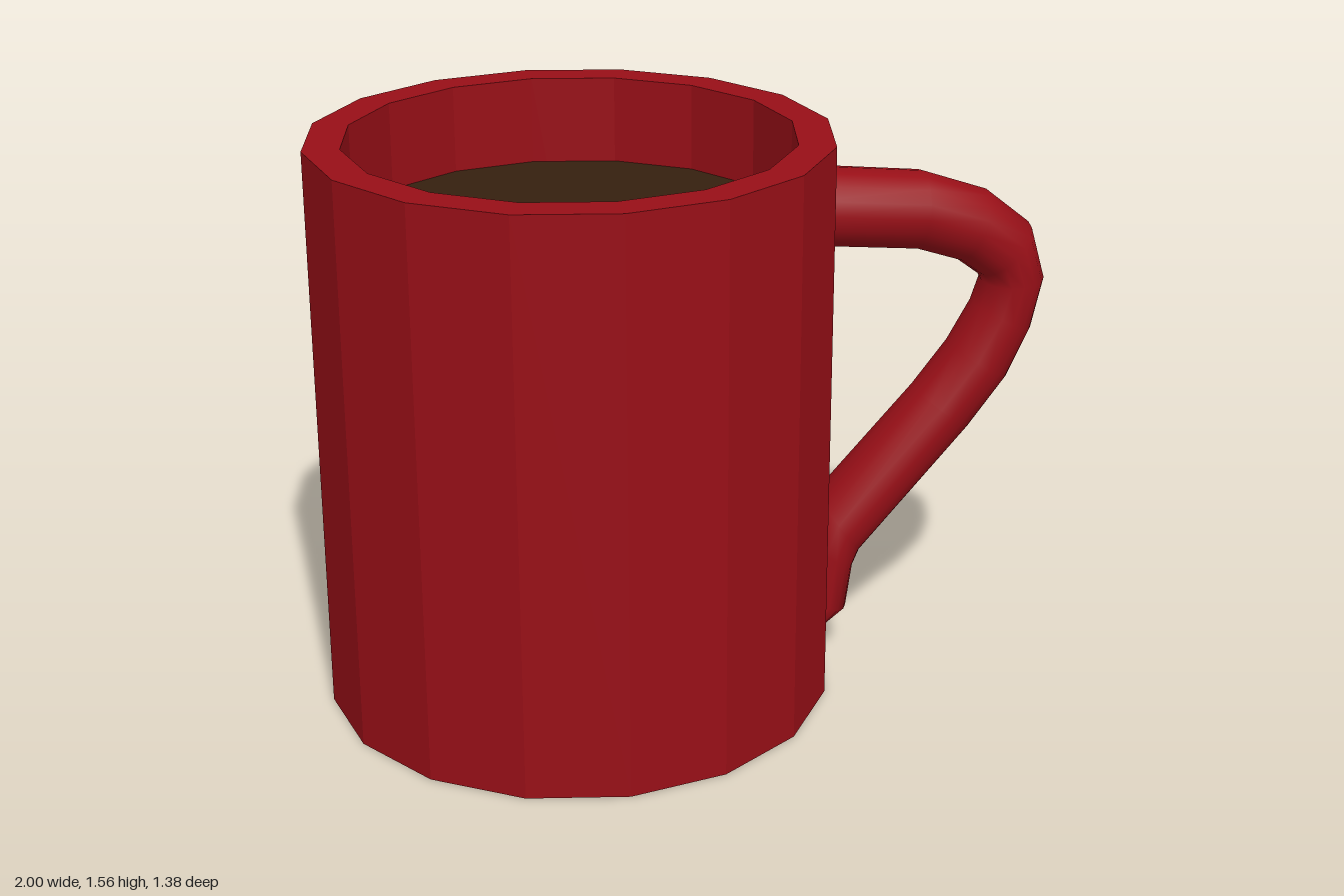
import * as THREE from 'three';

const CUP_X = -0.31, RADIUS = 0.69, INNER = 0.592, HEIGHT = 1.56, SIDES = 16;

// Tube lofted through [outerX, outerY, innerX, innerY] sections with a constant half depth in z
function loftHandle(sections, halfDepth, sides) {
  const positions = [], index = [];
  sections.forEach(([ox, oy, ix, iy], i) => {
    for (let j = 0; j < sides; j++) {
      const a = (j / sides) * Math.PI * 2, c = Math.cos(a);
      positions.push(
        (ox + ix) / 2 + ((ox - ix) / 2) * c,
        (oy + iy) / 2 + ((oy - iy) / 2) * c,
        halfDepth * Math.sin(a)
      );
      if (i < sections.length - 1) {
        const k = (j + 1) % sides;
        const p = i * sides + j, q = i * sides + k;
        index.push(p, q, p + sides, q, q + sides, p + sides);
      }
    }
  });
  const geometry = new THREE.BufferGeometry();
  geometry.setAttribute('position', new THREE.Float32BufferAttribute(positions, 3));
  geometry.setIndex(index);
  geometry.computeVertexNormals();
  return geometry;
}

export function createModel() {
  const mug = new THREE.Group();
  mug.name = 'mug';
  const add = (name, geometry, material) => {
    const mesh = new THREE.Mesh(geometry, material);
    mesh.name = name;
    mug.add(mesh);
    return mesh;
  };
  const red = 0x980f17;

  // Faceted cup with a closed base, thick rim and hollow inside
  const profile = [[0, 0], [RADIUS, 0], [RADIUS, HEIGHT], [INNER, HEIGHT], [INNER, 0.1], [0, 0.1]]
    .map(([x, y]) => new THREE.Vector2(x, y));
  const cup = add('cup', new THREE.LatheGeometry(profile, SIDES),
    new THREE.MeshStandardMaterial({ color: red, flatShading: true }));
  cup.position.x = CUP_X;

  // Drink surface below the rim
  const drink = add('drink', new THREE.CircleGeometry(INNER, SIDES).rotateX(-Math.PI / 2),
    new THREE.MeshStandardMaterial({ color: 0x35200f }));
  drink.position.set(CUP_X, 1.32, 0);

  // Handle: both ends run into the cup wall
  const sections = [
    [0.33, 1.435, 0.33, 1.217],
    [0.65, 1.40, 0.626, 1.187],
    [0.83, 1.337, 0.754, 1.144],
    [0.957, 1.235, 0.818, 1.096],
    [1.0, 1.086, 0.829, 1.075],
    [0.968, 0.94, 0.807, 1.01],
    [0.904, 0.80, 0.743, 0.898],
    [0.797, 0.658, 0.647, 0.775],
    [0.49, 0.31, 0.37, 0.47],
    [0.472, 0.267, 0.33, 0.36],
    [0.455, 0.144, 0.31, 0.20],
    [0.33, 0.06, 0.31, 0.12],
  ];
  add('handle', loftHandle(sections, 0.11, 16),
    new THREE.MeshStandardMaterial({ color: red }));

  return mug;
}
